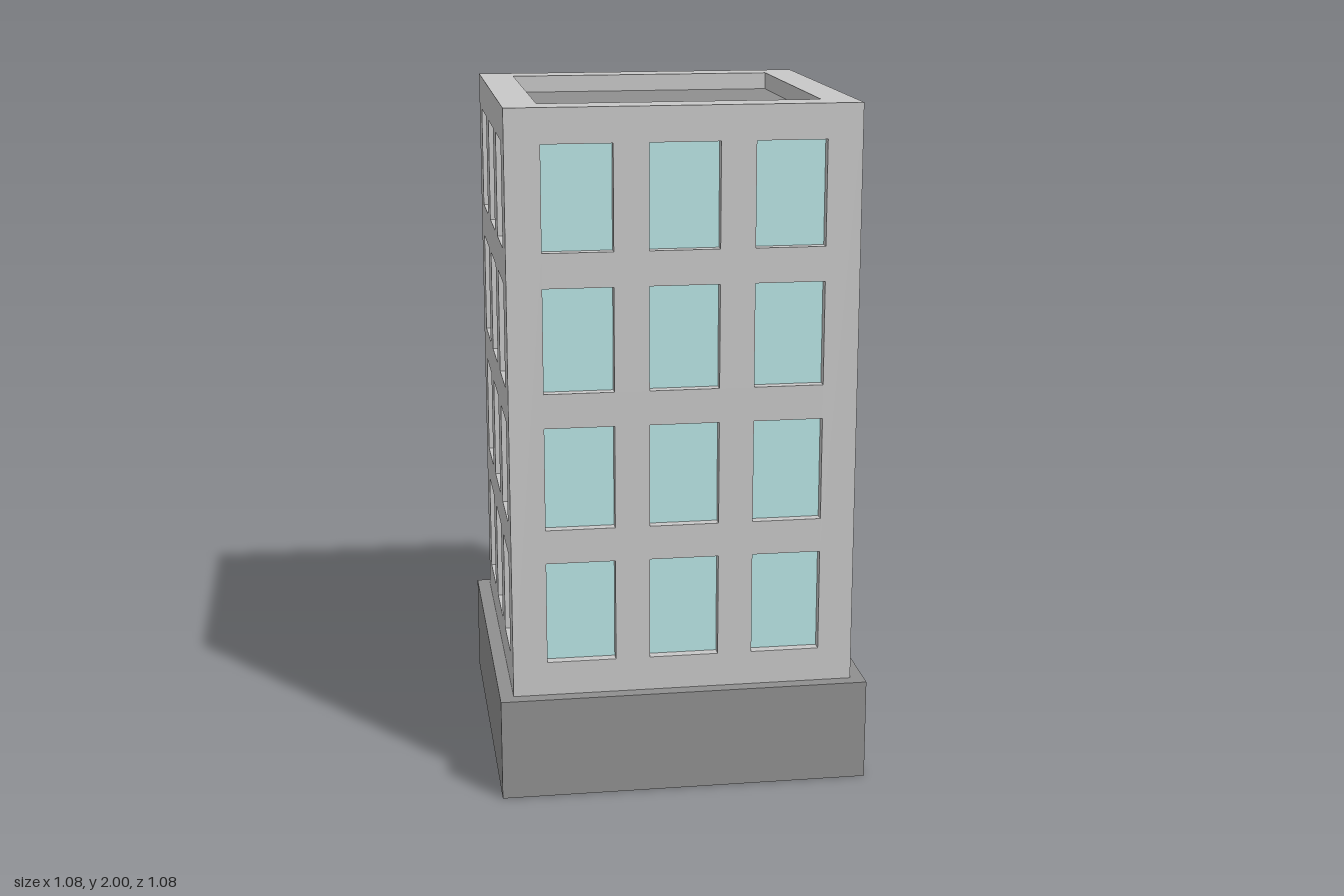
import * as THREE from 'three';

const wallMat = new THREE.MeshStandardMaterial({ name: 'light grey wall', color: 0xc7c7c7 });
const darkMat = new THREE.MeshStandardMaterial({ name: 'dark grey', color: 0x8f8f8f });
const glassMat = new THREE.MeshStandardMaterial({ name: 'pale teal glass', color: 0xb8e4e4 });

const HALF = 0.5, BASE_H = 0.3, TOP = 2;
const RECESS = 0.03, ROOF_Y = 1.95, ROOF_HALF = 0.4;
const WIN_W = 0.2, WIN_H = 0.3;
const columns = [-0.3, 0, 0.3];
const rows = [0.4, 0.8, 1.2, 1.6]; // window sills

function rect(PathType, x0, y0, x1, y1) {
  const p = new PathType();
  p.moveTo(x0, y0);
  p.lineTo(x1, y0);
  p.lineTo(x1, y1);
  p.lineTo(x0, y1);
  p.closePath();
  return p;
}

// Wall panel with window openings, mitred at the corners
function wallGeometry() {
  const shape = rect(THREE.Shape, -HALF, BASE_H, HALF, TOP);
  for (const x of columns) for (const y of rows) {
    shape.holes.push(rect(THREE.Path, x - WIN_W / 2, y, x + WIN_W / 2, y + WIN_H));
  }
  const geo = new THREE.ExtrudeGeometry(shape, { depth: RECESS, bevelEnabled: false });
  const pos = geo.attributes.position;
  for (let i = 0; i < pos.count; i++) {
    const x = pos.getX(i);
    if (pos.getZ(i) < RECESS / 2 && Math.abs(x) > HALF - 0.001) {
      pos.setX(i, Math.sign(x) * (HALF - RECESS));
    }
  }
  geo.translate(0, 0, HALF - RECESS);
  geo.computeVertexNormals();
  return geo;
}

export function createModel() {
  const model = new THREE.Group();
  model.name = 'building';
  const add = (parent, name, geo, mat) => {
    const mesh = new THREE.Mesh(geo, mat);
    mesh.name = name;
    parent.add(mesh);
    return mesh;
  };

  // Plinth, dark with a light underside
  const baseMats = [darkMat, darkMat, darkMat, wallMat, darkMat, darkMat];
  add(model, 'base', new THREE.BoxGeometry(1.08, BASE_H, 1.08), baseMats).position.y = BASE_H / 2;

  // Four matching facades with recessed panes
  const wallGeo = wallGeometry();
  const paneGeo = new THREE.PlaneGeometry(WIN_W, WIN_H);
  for (let side = 0; side < 4; side++) {
    const facade = new THREE.Group();
    facade.name = ['frontFacade', 'leftFacade', 'backFacade', 'rightFacade'][side];
    add(facade, 'wall', wallGeo, wallMat);
    for (const x of columns) for (const y of rows) {
      add(facade, 'windowPane', paneGeo, glassMat).position.set(x, y + WIN_H / 2, HALF - RECESS);
    }
    facade.rotation.y = side * Math.PI / 2;
    model.add(facade);
  }

  // Parapet ring inside the walls
  const inner = HALF - RECESS;
  const ring = rect(THREE.Shape, -inner, -inner, inner, inner);
  ring.holes.push(rect(THREE.Path, -ROOF_HALF, -ROOF_HALF, ROOF_HALF, ROOF_HALF));
  const parapetGeo = new THREE.ExtrudeGeometry(ring, { depth: TOP - ROOF_Y, bevelEnabled: false });
  parapetGeo.rotateX(-Math.PI / 2);
  add(model, 'parapet', parapetGeo, wallMat).position.y = ROOF_Y;

  // Sunken roof deck
  const roofGeo = new THREE.PlaneGeometry(ROOF_HALF * 2, ROOF_HALF * 2).rotateX(-Math.PI / 2);
  add(model, 'roof', roofGeo, darkMat).position.y = ROOF_Y;

  return model;
}
